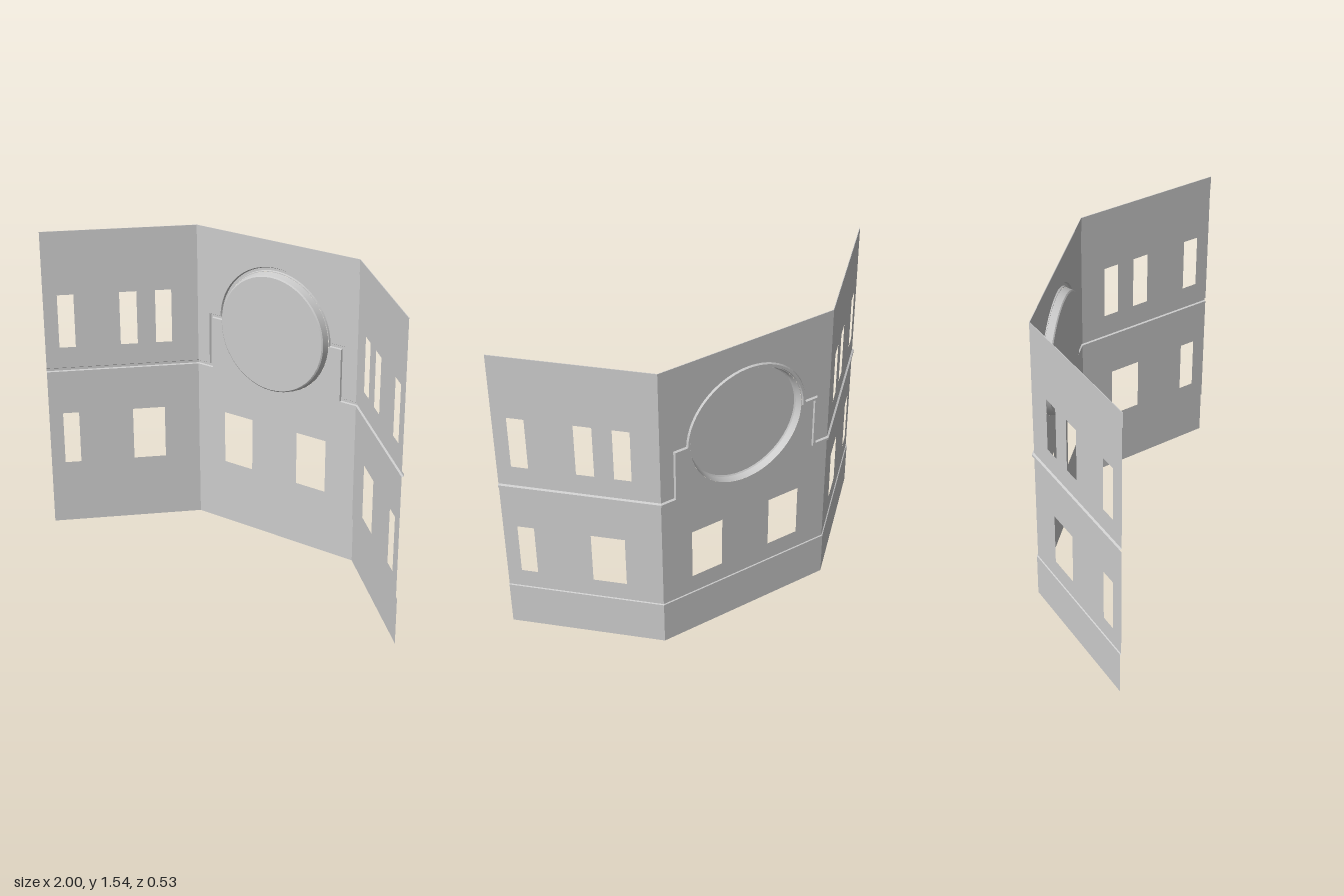
import * as THREE from 'three';
import { toCreasedNormals } from 'three/addons/utils/BufferGeometryUtils.js';

const A = 0.455, X = 0.994;            // x of the folds and of the free ends
const Z0 = -0.256, Z1 = 0.264;         // z of the centre panel and of the free ends
const SLOPE = (Z1 - Z0) / (X - A);
const ANGLE = Math.atan(SLOPE);
const BASE_TOP = 0.23, TOP = 1.54, SILL = 0.834;
const CIRCLE_Y = 1.09, CIRCLE_R = 0.297, ARCH_R = 0.31;
const HALF = 0.01, DEPTH = 0.009;      // moulding half width and projection

// Places a point of the flat facade, d outward from the sheet, on the folded wall.
function fold(x, y, d) {
  const s = Math.sign(x), over = Math.abs(x) - A;
  let n = [0, -1];
  if (Math.abs(over) < 1e-4) n = [s * Math.tan(ANGLE / 2), -1];
  else if (over > 0) n = [s * Math.sin(ANGLE), -Math.cos(ANGLE)];
  return [x + n[0] * d, y, Z0 + Math.max(0, over) * SLOPE + n[1] * d];
}

const material = new THREE.MeshStandardMaterial({ color: 0xcccccc, side: THREE.DoubleSide, flatShading: true });

function addMesh(group, name, geometry, mat = material) {
  const mesh = new THREE.Mesh(geometry, mat);
  mesh.name = name;
  group.add(mesh);
  return mesh;
}

// Flat sheet with holes, folded onto the wall.
function sheet(points, holes = []) {
  const shape = new THREE.Shape(points.map(([x, y]) => new THREE.Vector2(x, y)));
  shape.holes.push(...holes);
  const geometry = new THREE.ShapeGeometry(shape, 48);
  const p = geometry.attributes.position;
  for (let i = 0; i < p.count; i++) p.setXYZ(i, ...fold(p.getX(i), p.getY(i), 0));
  geometry.computeVertexNormals();
  return geometry;
}

function windowHole([x0, x1, y0, y1]) {
  return new THREE.Path([[x0, y0], [x0, y1], [x1, y1], [x1, y0]].map(([x, y]) => new THREE.Vector2(x, y)));
}

// Offsets a path sideways with mitred corners.
function offsetPath(path, w) {
  const normal = (p, q) => {
    const l = Math.hypot(q[0] - p[0], q[1] - p[1]);
    return [-(q[1] - p[1]) / l, (q[0] - p[0]) / l];
  };
  return path.map((p, i) => {
    const n1 = i > 0 ? normal(path[i - 1], p) : normal(p, path[1]);
    const n2 = i < path.length - 1 ? normal(p, path[i + 1]) : n1;
    const k = w / (1 + n1[0] * n2[0] + n1[1] * n2[1]);
    return [p[0] + (n1[0] + n2[0]) * k, p[1] + (n1[1] + n2[1]) * k];
  });
}

// Sweeps a profile of [sideways, outward] points along a path on the facade.
function sweep(path, profile) {
  const positions = [], index = [], n = path.length;
  for (const [w, d] of profile)
    for (const [x, y] of offsetPath(path, w)) positions.push(...fold(x, y, d));
  for (let j = 0; j < profile.length - 1; j++)
    for (let i = 0; i < n - 1; i++) {
      const a = j * n + i, b = a + n;
      index.push(a, b, a + 1, a + 1, b, b + 1);
    }
  const geometry = new THREE.BufferGeometry();
  geometry.setAttribute('position', new THREE.Float32BufferAttribute(positions, 3));
  geometry.setIndex(index);
  geometry.computeVertexNormals();
  return geometry;
}

export function createModel() {
  const model = new THREE.Group();
  model.name = 'facade';

  // Moulding line of the centre panel: sill, shoulder, arch, shoulder, sill
  const archPath = [[-A, SILL], [-0.376, SILL], [-0.376, 1.095]];
  for (let i = 0; i <= 40; i++) {
    const t = Math.PI - 0.016 - (i / 40) * (Math.PI - 0.032);
    archPath.push([ARCH_R * Math.cos(t), CIRCLE_Y + ARCH_R * Math.sin(t)]);
  }
  archPath.push([0.376, 1.095], [0.376, SILL], [A, SILL]);
  // Level shoulders between the arch and the uprights
  archPath.splice(3, 0, [-ARCH_R - 0.002, 1.095]);
  archPath.splice(archPath.length - 3, 0, [ARCH_R + 0.002, 1.095]);

  const circle = new THREE.Path();
  circle.absarc(0, CIRCLE_Y, CIRCLE_R, 0, Math.PI * 2, true);

  const low = [0.33, 0.6], high = [0.95, 1.22];
  const mirror = ([x0, x1, y0, y1]) => [-x1, -x0, y0, y1];
  const lowerWing = [[0.58, 0.695, ...low], [0.888, 0.945, ...low]];
  const upperWing = [[0.548, 0.605, ...high], [0.67, 0.73, ...high], [0.888, 0.945, ...high]];
  const centreWindow = [0.13, 0.295, ...low];

  const panels = [
    { name: 'centre', path: archPath, lower: [centreWindow, mirror(centreWindow)], upper: [], extra: [circle] },
    { name: 'leftWing', path: [[A, SILL], [X, SILL]], lower: lowerWing, upper: upperWing, extra: [] },
    { name: 'rightWing', path: [[-X, SILL], [-A, SILL]], lower: lowerWing.map(mirror), upper: upperWing.map(mirror), extra: [] },
  ];

  // Each panel: wall below the moulding, wall above it, and the hollow moulding
  for (const { name, path, lower, upper, extra } of panels) {
    const group = new THREE.Group();
    group.name = name;
    const x0 = path[0][0], x1 = path[path.length - 1][0];
    const under = offsetPath(path, -HALF), over = offsetPath(path, HALF);
    addMesh(group, 'lowerWall', sheet([[x1, BASE_TOP], ...under.reverse(), [x0, BASE_TOP]],
      [...lower.map(windowHole), ...extra]));
    addMesh(group, 'upperWall', sheet([...over, [x1, TOP], [x0, TOP]], upper.map(windowHole)));
    addMesh(group, 'moulding', sweep(path,
      [[-HALF, 0], [-HALF * 0.7, DEPTH], [HALF * 0.5, DEPTH], [HALF, 0]]));
    model.add(group);
  }

  // Plinth and top band running along all three panels
  const line = y => [[-X, y], [-A, y], [A, y], [X, y]];
  addMesh(model, 'plinth', sweep(line(0), [[0, 0.005], [BASE_TOP, 0.005], [BASE_TOP + 0.003, 0]]));
  addMesh(model, 'topBand', sweep(line(1.47), [[0, 0], [0, -0.003], [TOP - 1.47, -0.003], [TOP - 1.47, 0]]));

  // Round panel pushed forward from the wall
  const profile = [[0, 0.037], [0.283, 0.037], [0.289, 0.032], [CIRCLE_R, 0]].map(([r, h]) => new THREE.Vector2(r, h));
  const smooth = new THREE.MeshStandardMaterial({ color: 0xcccccc, side: THREE.DoubleSide });
  const cup = addMesh(model, 'roundPanel', toCreasedNormals(new THREE.LatheGeometry(profile, 48), 0.4), smooth);
  cup.rotation.x = Math.PI / 2;
  cup.position.set(0, CIRCLE_Y, Z0);

  return model;
}
